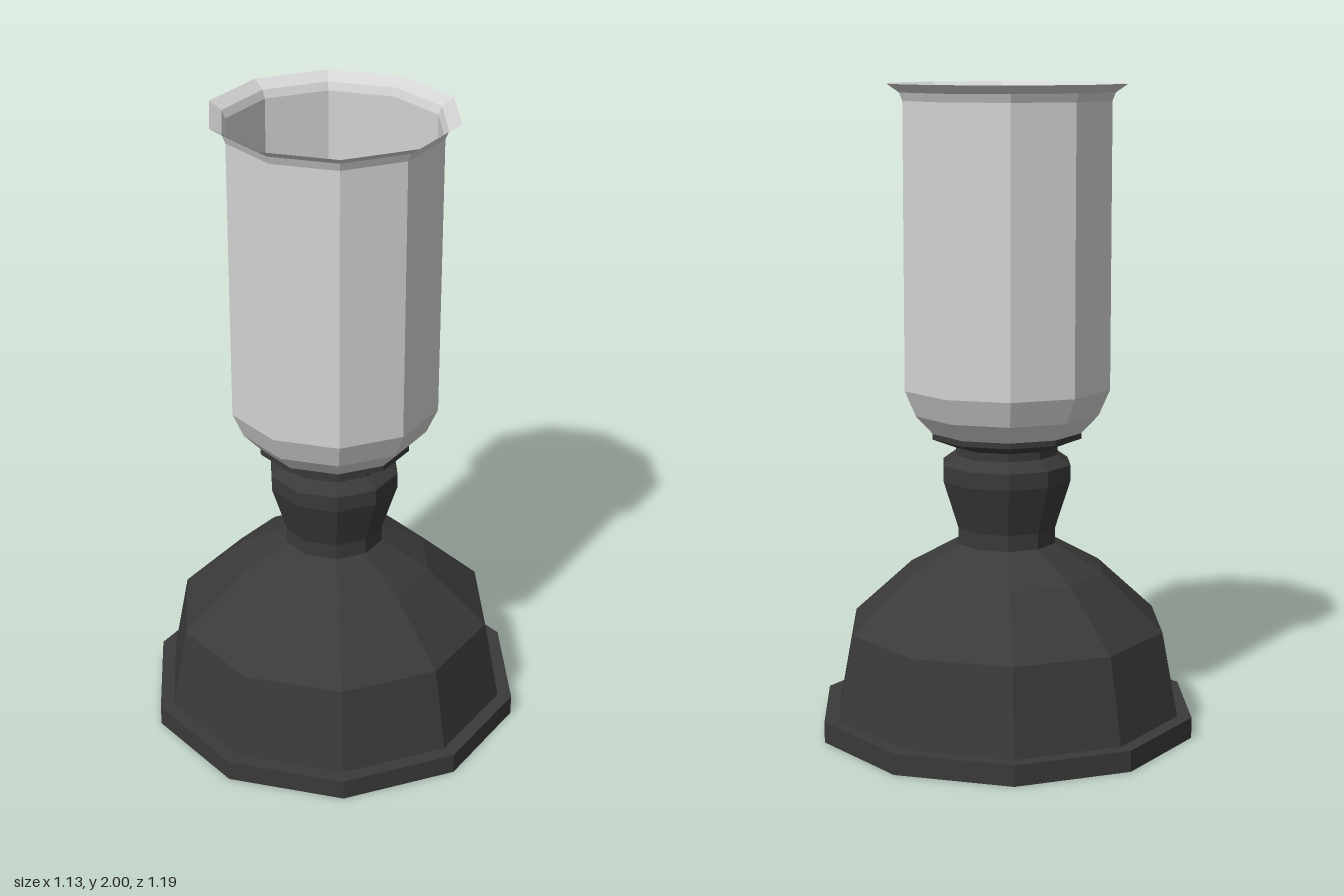
import * as THREE from 'three';

const darkMetal = new THREE.MeshStandardMaterial({ color: 0x3a3a3a });
const paleGlass = new THREE.MeshStandardMaterial({ color: 0xd4d4d4, side: THREE.DoubleSide });
const warmGold = new THREE.MeshStandardMaterial({ color: 0xdcc88c });

// Faceted turned part; the profile is [radius, height] from bottom to top
function turned(name, profile, sides, material, start = 0) {
  const points = profile.map(([r, y]) => new THREE.Vector2(r, y));
  const geometry = new THREE.LatheGeometry(points, sides, start).toNonIndexed();
  geometry.computeVertexNormals();
  const mesh = new THREE.Mesh(geometry, material);
  mesh.name = name;
  return mesh;
}

export function createModel() {
  const group = new THREE.Group();
  group.name = 'hurricaneLamp';

  // Wide foot plate and domed base
  group.add(turned('footPlate', [[0, 0], [0.595, 0], [0.595, 0.065], [0, 0.065]], 10, darkMetal));
  group.add(turned('domedBase', [
    [0.55, 0.065], [0.5, 0.33], [0.31, 0.505], [0.157, 0.59], [0, 0.59],
  ], 10, darkMetal));

  // Flared stem and the cup carrying the glass
  group.add(turned('stem', [
    [0.157, 0.59], [0.157, 0.64], [0.205, 0.79], [0.205, 0.84], [0.163, 0.87], [0, 0.87],
  ], 10, darkMetal));
  group.add(turned('cup', [
    [0.163, 0.865], [0.163, 0.895], [0.24, 0.925], [0.24, 0.942], [0, 0.942],
  ], 10, darkMetal));

  // Open glass chimney with rounded bottom and flared lip
  group.add(turned('glassChimney', [
    [0.235, 0.938], [0.293, 1.0], [0.328, 1.08], [0.328, 1.95], [0.338, 1.975], [0.375, 2.0],
  ], 10, paleGlass));

  // Pointed flame inside the glass
  group.add(turned('flame', [
    [0, 0.942], [0.045, 0.942], [0.1, 1.1], [0.06, 1.32], [0, 1.5],
  ], 7, warmGold, Math.PI));

  return group;
}
